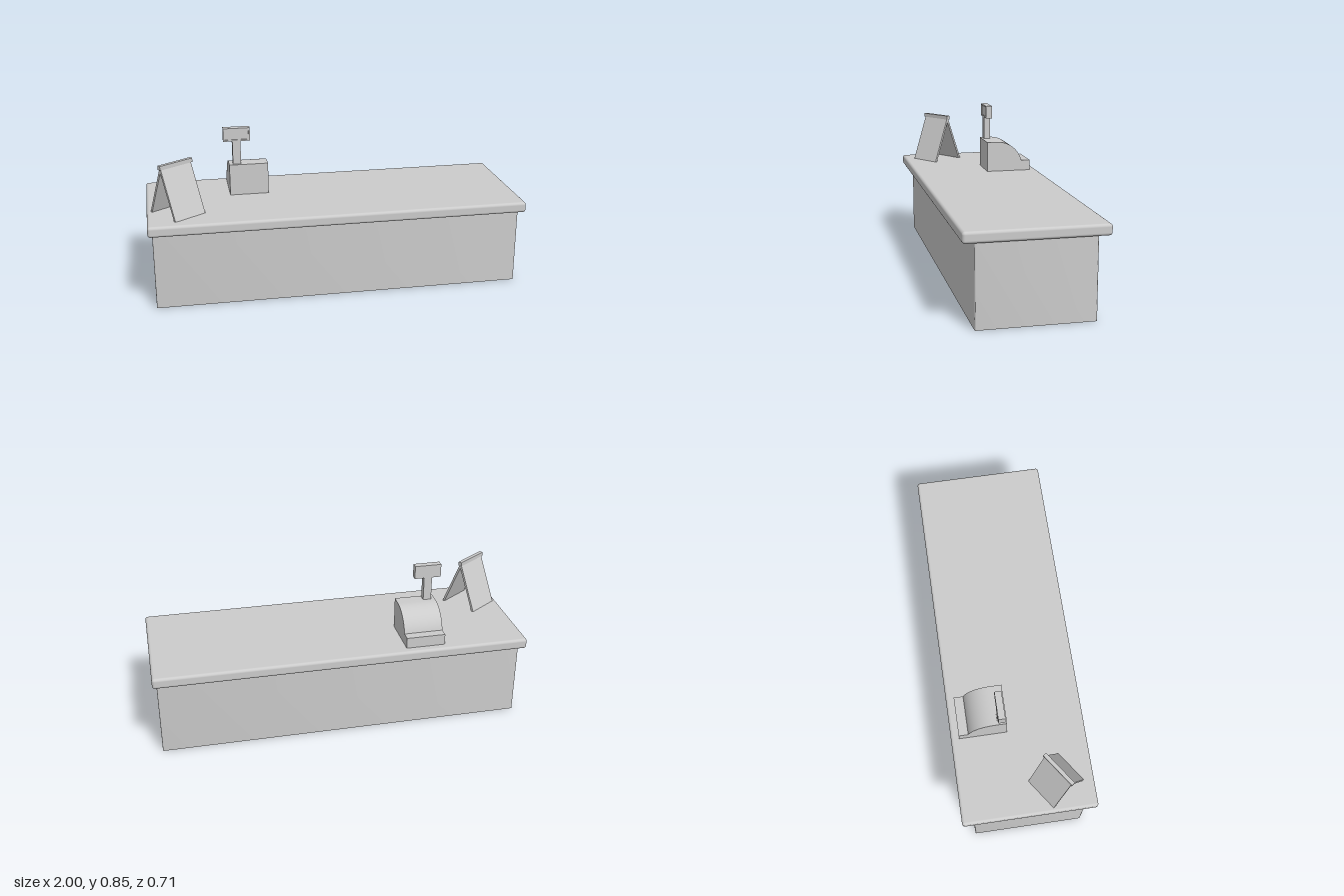
import * as THREE from 'three';
import { RoundedBoxGeometry } from 'three/addons/geometries/RoundedBoxGeometry.js';
import { toCreasedNormals } from 'three/addons/utils/BufferGeometryUtils.js';

const grey = new THREE.MeshStandardMaterial({ color: 0xcccccc });
const greyThin = new THREE.MeshStandardMaterial({ color: 0xcccccc, side: THREE.DoubleSide });

const COUNTER_TOP = 0.475;

function part(name, geometry, x = 0, y = 0, z = 0, material = grey) {
  const mesh = new THREE.Mesh(geometry, material);
  mesh.name = name;
  mesh.position.set(x, y, z);
  return mesh;
}

function box(name, w, h, d, x, y, z) {
  return part(name, new THREE.BoxGeometry(w, h, d), x, y, z);
}

// Extrudes a side profile drawn in (z, y) across x, centred on x = 0.
function extrudeSide(shape, width) {
  const geometry = new THREE.ExtrudeGeometry(shape, { depth: width, bevelEnabled: false, curveSegments: 8 });
  geometry.translate(0, 0, -width / 2).rotateY(-Math.PI / 2);
  return toCreasedNormals(geometry, 0.6);
}

// Upright walls on a rounded rectangle, open above and below.
function openWalls(w, h, d, r) {
  const outline = [];
  const corners = [[1, 1], [-1, 1], [-1, -1], [1, -1]];
  corners.forEach(([sx, sz], i) => {
    for (let k = 0; k <= 3; k++) {
      const a = (i + k / 3) * Math.PI / 2;
      outline.push([sx * (w / 2 - r) + r * Math.cos(a), sz * (d / 2 - r) + r * Math.sin(a)]);
    }
  });
  const positions = [];
  outline.forEach(([x0, z0], i) => {
    const [x1, z1] = outline[(i + 1) % outline.length];
    positions.push(x0, 0, z0, x0, h, z0, x1, h, z1, x0, 0, z0, x1, h, z1, x1, 0, z1);
  });
  const geometry = new THREE.BufferGeometry();
  geometry.setAttribute('position', new THREE.Float32BufferAttribute(positions, 3));
  return toCreasedNormals(geometry, 0.7);
}

function createCounter() {
  const counter = new THREE.Group();
  counter.name = 'counter';
  counter.add(
    part('counterWalls', openWalls(1.956, 0.42, 0.59, 0.006), 0, 0, 0, greyThin),
    part('counterTop', new RoundedBoxGeometry(2, 0.057, 0.71, 4, 0.015), 0, COUNTER_TOP - 0.0285, 0)
  );
  return counter;
}

function createRegister() {
  const register = new THREE.Group();
  register.name = 'cashRegister';

  // Body: flat top, curved keyboard slope and a low drawer lip towards the back
  const profile = new THREE.Shape();
  profile.moveTo(-0.056, COUNTER_TOP - 0.002);
  profile.lineTo(-0.056, 0.646);
  profile.lineTo(-0.118, 0.646);
  profile.absarc(-0.118, 0.499, 0.147, Math.PI / 2, Math.PI - 0.24, false);
  profile.lineTo(-0.311, 0.534);
  profile.lineTo(-0.311, COUNTER_TOP - 0.002);
  profile.closePath();
  register.add(part('registerBody', extrudeSide(profile, 0.21), -0.442, 0, 0));

  // Customer display: pole, panel and a thin raised frame on the front
  register.add(
    box('displayPole', 0.044, 0.135, 0.036, -0.504, 0.711, -0.087),
    box('displayPanel', 0.144, 0.072, 0.03, -0.502, 0.811, -0.09)
  );
  const rectangle = (Type, w, h) => new Type([
    new THREE.Vector2(-w / 2, -h / 2), new THREE.Vector2(w / 2, -h / 2),
    new THREE.Vector2(w / 2, h / 2), new THREE.Vector2(-w / 2, h / 2)
  ]);
  const frame = rectangle(THREE.Shape, 0.144, 0.072);
  frame.holes.push(rectangle(THREE.Path, 0.128, 0.056));
  const frameGeometry = new THREE.ExtrudeGeometry(frame, { depth: 0.006, bevelEnabled: false });
  register.add(part('displayFrame', frameGeometry, -0.502, 0.811, -0.075));
  return register;
}

function createTentSign() {
  const sign = new THREE.Group();
  sign.name = 'tentSign';

  // Two leaning panels meeting under a ridge cap
  const profile = new THREE.Shape([
    [-0.108, COUNTER_TOP], [-0.095, COUNTER_TOP], [0, 0.712], [0.095, COUNTER_TOP],
    [0.108, COUNTER_TOP], [0.006, 0.73], [-0.006, 0.73]
  ].map(([z, y]) => new THREE.Vector2(z, y)));
  sign.add(
    part('signPanels', extrudeSide(profile, 0.19)),
    box('signRidge', 0.204, 0.022, 0.02, 0, 0.74, 0)
  );
  sign.position.set(-0.839, 0, 0.157);
  sign.rotation.y = 0.605;
  return sign;
}

export function createModel() {
  const model = new THREE.Group();
  model.name = 'checkoutCounter';
  model.add(createCounter(), createRegister(), createTentSign());
  return model;
}
